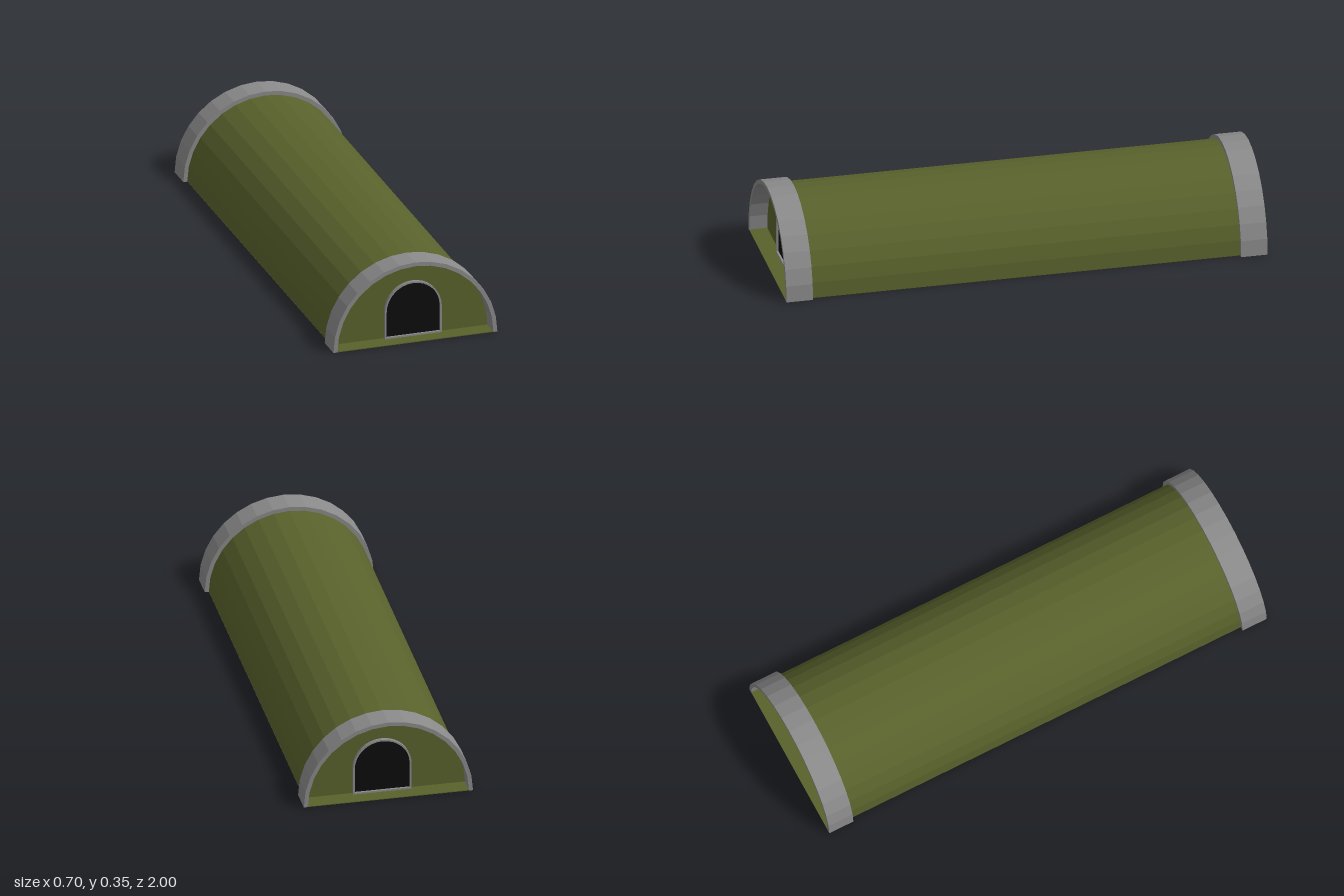
import * as THREE from 'three';

const R_OUT = 0.351, R_IN = 0.334, HALF = 1, RIM = 0.11, WALL_Z = 0.925;
const DOOR_X = 0.012;

const material = (color) => new THREE.MeshStandardMaterial({ color, flatShading: true });
const green = material(0x59622c);
const grey = material(0x8a8a8a);
const black = material(0x0c0c0c);

// Points along a half circle, from +x over the top to -x
function arc(radius, segments, cx = 0, cy = 0) {
  return Array.from({ length: segments + 1 }, (_, i) => {
    const a = (Math.PI * i) / segments;
    return new THREE.Vector2(cx + radius * Math.cos(a), cy + radius * Math.sin(a));
  });
}

// Round-topped doorway outline standing on y = bottom
function doorway(radius, bottom) {
  const spring = 0.12;
  return [
    new THREE.Vector2(DOOR_X - radius, bottom),
    new THREE.Vector2(DOOR_X + radius, bottom),
    ...arc(radius, 16, DOOR_X, spring),
  ];
}

function extrude(name, shape, z0, z1, mat) {
  const geometry = new THREE.ExtrudeGeometry(shape, { depth: z1 - z0, bevelEnabled: false });
  geometry.translate(0, 0, z0);
  const mesh = new THREE.Mesh(geometry, mat);
  mesh.name = name;
  return mesh;
}

export function createModel() {
  const model = new THREE.Group();
  model.name = 'archedShelter';

  // Half-round body, closed by the recessed end walls
  model.add(extrude('body', new THREE.Shape(arc(R_IN, 16)), -WALL_Z, WALL_Z, green));

  // Thin floor reaching out under both end rims
  const floor = new THREE.Mesh(new THREE.BoxGeometry(2 * R_IN, 0.003, 2 * HALF), green);
  floor.name = 'floor';
  floor.position.y = 0.0015;
  model.add(floor);

  const rimShape = new THREE.Shape([...arc(R_OUT, 16), ...arc(R_IN, 16).reverse()]);
  const frameShape = new THREE.Shape(doorway(0.1215, 0));
  frameShape.holes.push(new THREE.Path(doorway(0.1145, 0.01)));
  const doorShape = new THREE.Shape(doorway(0.1145, 0.01));

  // Each end: rim, door frame and dark opening
  for (const side of [1, -1]) {
    const end = new THREE.Group();
    end.name = side > 0 ? 'frontEnd' : 'backEnd';
    const add = (name, shape, z0, z1, mat) =>
      end.add(extrude(name, shape, side > 0 ? z0 : -z1, side > 0 ? z1 : -z0, mat));
    add('rim', rimShape, HALF - RIM, HALF, grey);
    add('doorFrame', frameShape, WALL_Z - 0.005, WALL_Z + 0.015, grey);
    add('doorOpening', doorShape, WALL_Z - 0.005, WALL_Z + 0.006, black);
    model.add(end);
  }
  return model;
}
